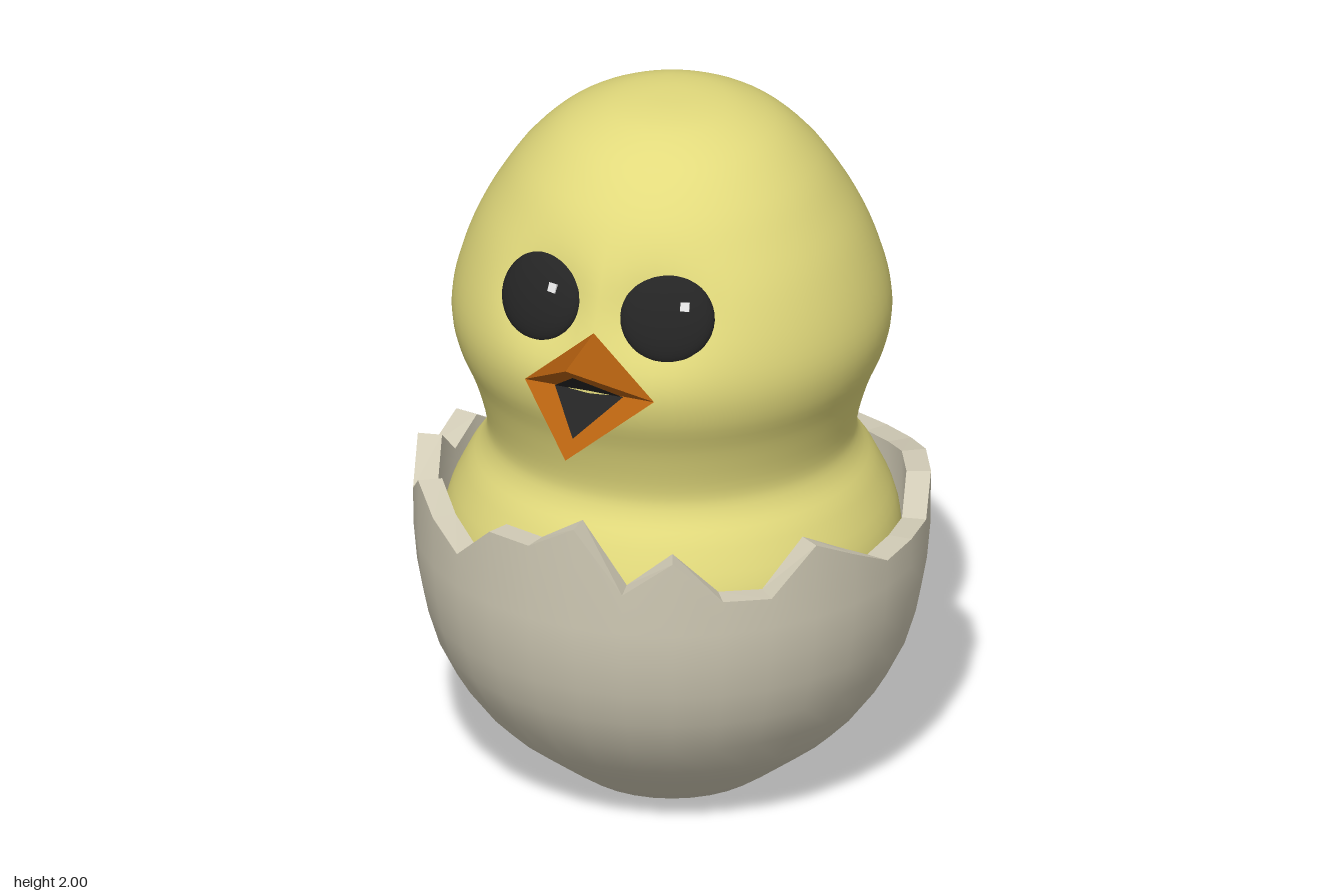
import * as THREE from 'three';
import { mergeVertices } from 'three/addons/utils/BufferGeometryUtils.js';

const SEGMENTS = 32;
const CENTRE_Z = -0.025;

// Height of the cracked rim at each segment, counted from the front towards +x
const RIM = [
  1.0, 0.82, 0.92, 0.80, 0.79, 0.92, 0.85, 0.78, 0.785, 0.78, 0.86, 0.86, 0.83, 0.81, 0.80, 0.90,
  0.94, 0.94, 0.83, 0.90, 0.98, 0.91, 0.78, 0.86, 0.81, 0.91, 0.81, 0.90, 0.85, 0.80, 0.92, 0.92,
];

const mat = (name, color, side = THREE.FrontSide) => {
  const m = new THREE.MeshStandardMaterial({ color, side });
  m.name = name;
  return m;
};

const vectors = (pairs) => pairs.map(([r, y]) => new THREE.Vector2(r, y));

function addMesh(parent, name, geometry, material) {
  const mesh = new THREE.Mesh(geometry, material);
  mesh.name = name;
  parent.add(mesh);
  return mesh;
}

// Lathe whose points at y = 1 are moved to the jagged rim
function crackedLathe(pairs) {
  const g = new THREE.LatheGeometry(vectors(pairs), SEGMENTS);
  const p = g.attributes.position;
  for (let i = 0; i < p.count; i++) {
    const segment = Math.floor(i / pairs.length) % SEGMENTS;
    if (p.getY(i) === 1) p.setY(i, RIM[segment]);
  }
  return g;
}

// Flat faces from a list of triangles, each with three corners
function triangles(list) {
  const g = new THREE.BufferGeometry();
  g.setAttribute('position', new THREE.Float32BufferAttribute(list.flat(2), 3));
  g.computeVertexNormals();
  return g;
}

function buildShell(material) {
  const shell = new THREE.Group();
  shell.name = 'eggShell';
  shell.position.z = CENTRE_Z;
  addMesh(shell, 'shellOutside', crackedLathe([
    [0.27, 0], [0.34, 0.05], [0.405, 0.1], [0.468, 0.15], [0.52, 0.2], [0.595, 0.3], [0.645, 0.4],
    [0.676, 0.5], [0.694, 0.6], [0.703, 0.7], [0.705, 1],
  ]), material);
  addMesh(shell, 'shellInside', crackedLathe([[0.638, 1], [0.636, 0.7], [0.61, 0.5]]), material);
  const rim = crackedLathe([[0.705, 1], [0.638, 1]]).toNonIndexed();
  rim.computeVertexNormals();
  addMesh(shell, 'shellRim', rim, material);
  addMesh(shell, 'shellBase', new THREE.LatheGeometry(vectors([[0, 0], [0.27, 0]]), SEGMENTS), material);
  return shell;
}

function buildBody(material) {
  const profile = new THREE.SplineCurve(vectors([
    [0, 0.08], [0.28, 0.12], [0.44, 0.22], [0.57, 0.4], [0.622, 0.6], [0.618, 0.76], [0.565, 0.89],
    [0.515, 0.97], [0.505, 1.04], [0.54, 1.17], [0.585, 1.28], [0.6, 1.38], [0.582, 1.49],
    [0.535, 1.62], [0.475, 1.73], [0.405, 1.83], [0.31, 1.92], [0.2, 1.975], [0.1, 1.996], [0, 2],
  ])).getPoints(76);
  profile.forEach((v) => { v.x = Math.max(v.x, 0); });
  const lathe = new THREE.LatheGeometry(profile, 64, Math.PI);
  lathe.deleteAttribute('normal');
  lathe.deleteAttribute('uv');
  const g = mergeVertices(lathe, 1e-4);
  // Shallow eye sockets in the face
  const p = g.attributes.position;
  for (let i = 0; i < p.count; i++) {
    if (p.getZ(i) < 0) continue;
    const dx = (Math.abs(p.getX(i)) - 0.15) / 0.13;
    const dy = (p.getY(i) - 1.57) / 0.12;
    p.setZ(i, p.getZ(i) - 0.05 * Math.exp(-dx * dx - dy * dy));
  }
  g.computeVertexNormals();
  const body = new THREE.Mesh(g, material);
  body.name = 'chickBody';
  body.position.z = CENTRE_Z;
  return body;
}

function buildEye(side, black, white) {
  const eye = new THREE.Group();
  eye.name = side > 0 ? 'leftEye' : 'rightEye';
  eye.position.set(side * 0.185, 1.575, 0.457);
  eye.rotation.set(-0.38, side * 0.27, 0, 'YXZ');
  const ball = new THREE.SphereGeometry(1, 32, 20);
  ball.scale(0.13, 0.123, 0.036);
  addMesh(eye, 'eyeball', ball, black);
  const glint = addMesh(eye, 'eyeGlint', new THREE.BoxGeometry(0.025, 0.025, 0.008), white);
  glint.position.set(0.05, 0.035, 0.031);
  return eye;
}

// One half of the open beak; dir is 1 for the upper half and -1 for the lower
function buildBeakHalf(dir, orange, black) {
  const half = new THREE.Group();
  half.name = dir > 0 ? 'upperBeak' : 'lowerBeak';
  const y = (h) => 1.37 + dir * h;
  const back = [0, y(0.16), 0.535];
  const tip = [0, y(0.135), 0.737];
  const left = [0.19, y(0), 0.565];
  const right = [-0.19, y(0), 0.565];
  addMesh(half, 'beakOutside', triangles([
    [back, tip, left], [back, right, tip], [tip, right, left], [back, left, right],
  ]), orange);
  // Dark mouth lining laid on the inner face
  addMesh(half, 'mouthLining', triangles([
    [[-0.1, y(0), 0.569], [0.1, y(0), 0.569], [0, y(0.092), 0.685]],
  ]), black);
  return half;
}

export function createModel() {
  const yellow = mat('downYellow', 0xe2da7c);
  const shell = mat('shellCream', 0xd0cab5);
  const orange = mat('beakOrange', 0xb4600f, THREE.DoubleSide);
  const black = mat('eyeBlack', 0x242424, THREE.DoubleSide);
  const white = mat('glintWhite', 0xf0f0f0);

  const model = new THREE.Group();
  model.name = 'hatchingChick';
  model.add(buildShell(shell), buildBody(yellow));
  for (const s of [1, -1]) {
    model.add(buildEye(s, black, white), buildBeakHalf(s, orange, black));
  }
  return model;
}
